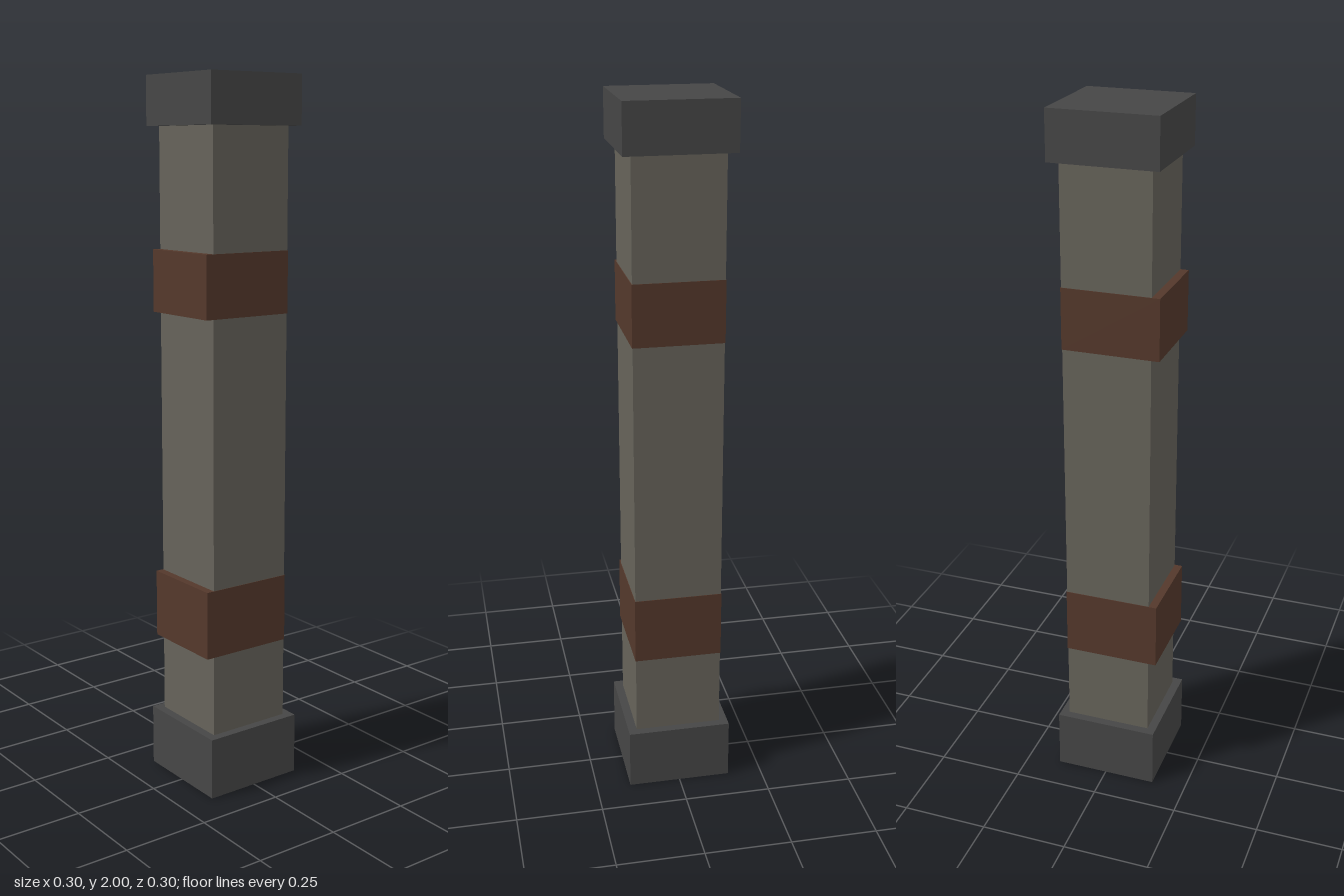
import * as THREE from 'three';

export function createModel() {
  const group = new THREE.Group();
  group.name = 'pillar';

  const material = (name, color) => {
    const m = new THREE.MeshStandardMaterial({ color });
    m.name = name;
    return m;
  };
  const darkGrey = material('dark grey', 0x464646);
  const stone = material('stone grey', 0x66635a);
  const rust = material('rust brown', 0x54382b);

  // Box spanning y0..y1 and z0..z1, centred on x
  const block = (name, mat, width, y0, y1, z0, z1) => {
    const mesh = new THREE.Mesh(new THREE.BoxGeometry(width, y1 - y0, z1 - z0), mat);
    mesh.position.set(0, (y0 + y1) / 2, (z0 + z1) / 2);
    mesh.name = name;
    group.add(mesh);
  };

  // Square base, shaft and cap
  block('base', darkGrey, 0.3, 0, 0.177, -0.15, 0.15);
  block('shaft', stone, 0.25, 0.177, 1.865, -0.125, 0.125);
  block('cap', darkGrey, 0.3, 1.865, 2, -0.15, 0.15);

  // Bands nearly flush with the shaft, standing proud at the front only
  block('lowerBand', rust, 0.253, 0.41, 0.605, -0.1265, 0.148);
  block('upperBand', rust, 0.253, 1.36, 1.533, -0.1265, 0.148);

  return group;
}
